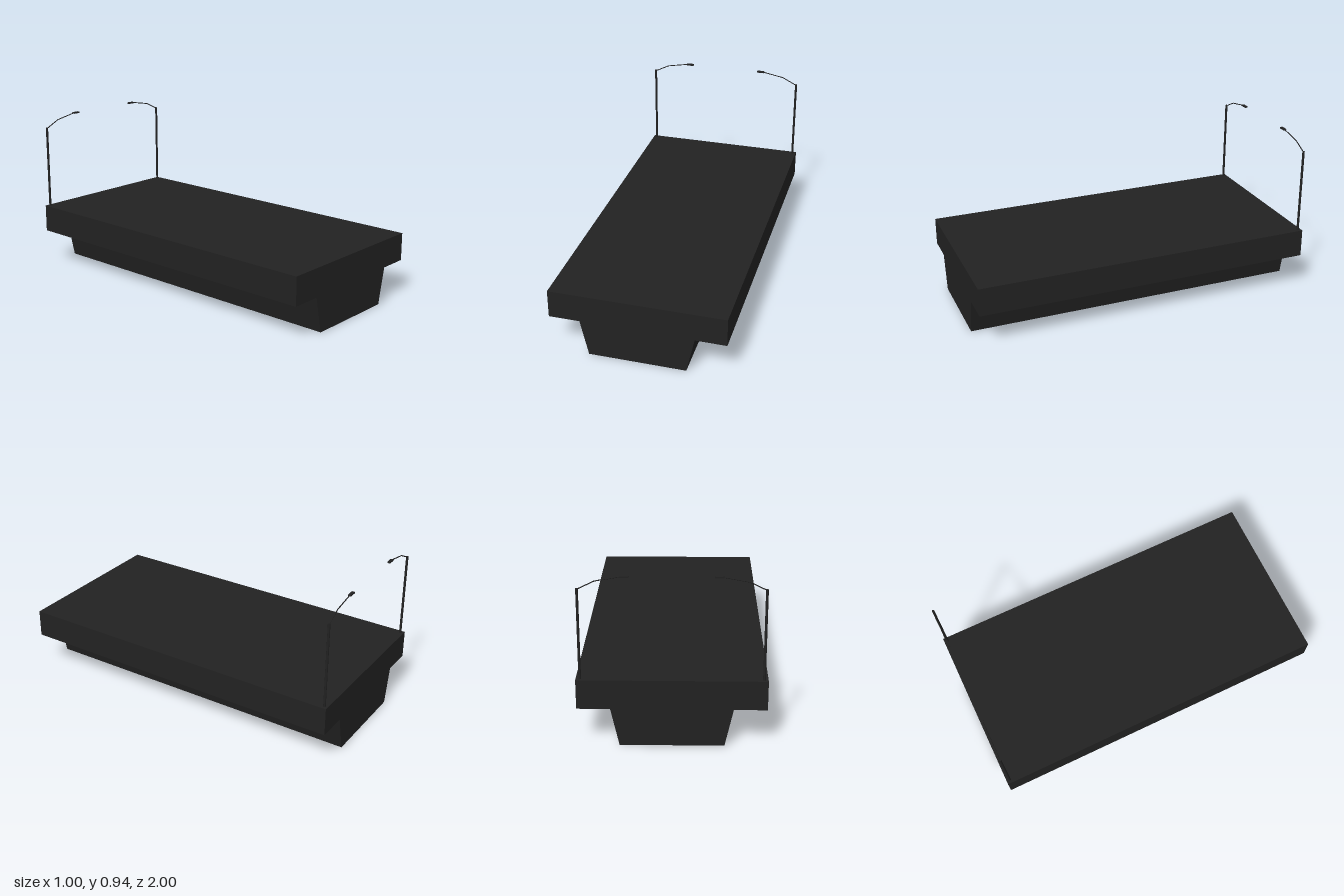
import * as THREE from 'three';

export function createModel() {
  const model = new THREE.Group();
  const charcoal = new THREE.MeshStandardMaterial({ color: 0x222222 });
  charcoal.name = 'charcoal';

  const add = (parent, name, geometry) => {
    const mesh = new THREE.Mesh(geometry, charcoal);
    mesh.name = name;
    parent.add(mesh);
    return mesh;
  };

  // Extrudes an outline of [x, y] points along z, centred on z = 0
  const prism = (points, depth) => {
    const shape = new THREE.Shape(points.map(([x, y]) => new THREE.Vector2(x, y)));
    return new THREE.ExtrudeGeometry(shape, { depth, bevelEnabled: false })
      .translate(0, 0, -depth / 2);
  };

  // Bridge deck slab with its tapered girder below, one T-shaped section
  add(model, 'bridgeDeck', prism([
    [-0.277, 0], [0.277, 0], [0.323, 0.211], [0.5, 0.211],
    [0.5, 0.375], [-0.5, 0.375], [-0.5, 0.211], [-0.323, 0.211],
  ], 2));

  // Street lamps at the back corners, arms reaching over the road
  for (const side of [1, -1]) {
    const lamp = new THREE.Group();
    lamp.name = side > 0 ? 'leftLamp' : 'rightLamp';
    lamp.position.z = -0.98;

    const pole = add(lamp, 'pole', new THREE.CylinderGeometry(0.007, 0.007, 0.5, 12));
    pole.position.set(side * 0.478, 0.625, 0);

    // Bent arm from straight rods
    const bends = [[0.478, 0.87], [0.389, 0.914], [0.255, 0.939]]
      .map(([x, y]) => new THREE.Vector3(side * x, y, 0));
    for (let i = 0; i < bends.length - 1; i++) {
      const along = bends[i + 1].clone().sub(bends[i]);
      const arm = add(lamp, 'arm', new THREE.CylinderGeometry(0.003, 0.003, along.length(), 8));
      arm.position.copy(bends[i]).addScaledVector(along, 0.5);
      arm.quaternion.setFromUnitVectors(new THREE.Vector3(0, 1, 0), along.normalize());
    }

    // Flat lamp head with a sloping rear edge
    const outline = [[0.215, 0.934], [0.26, 0.934], [0.266, 0.938], [0.258, 0.943], [0.217, 0.943]]
      .map(([x, y]) => [side * x, y]);
    add(lamp, 'lampHead', prism(outline, 0.016));
    model.add(lamp);
  }

  return model;
}
